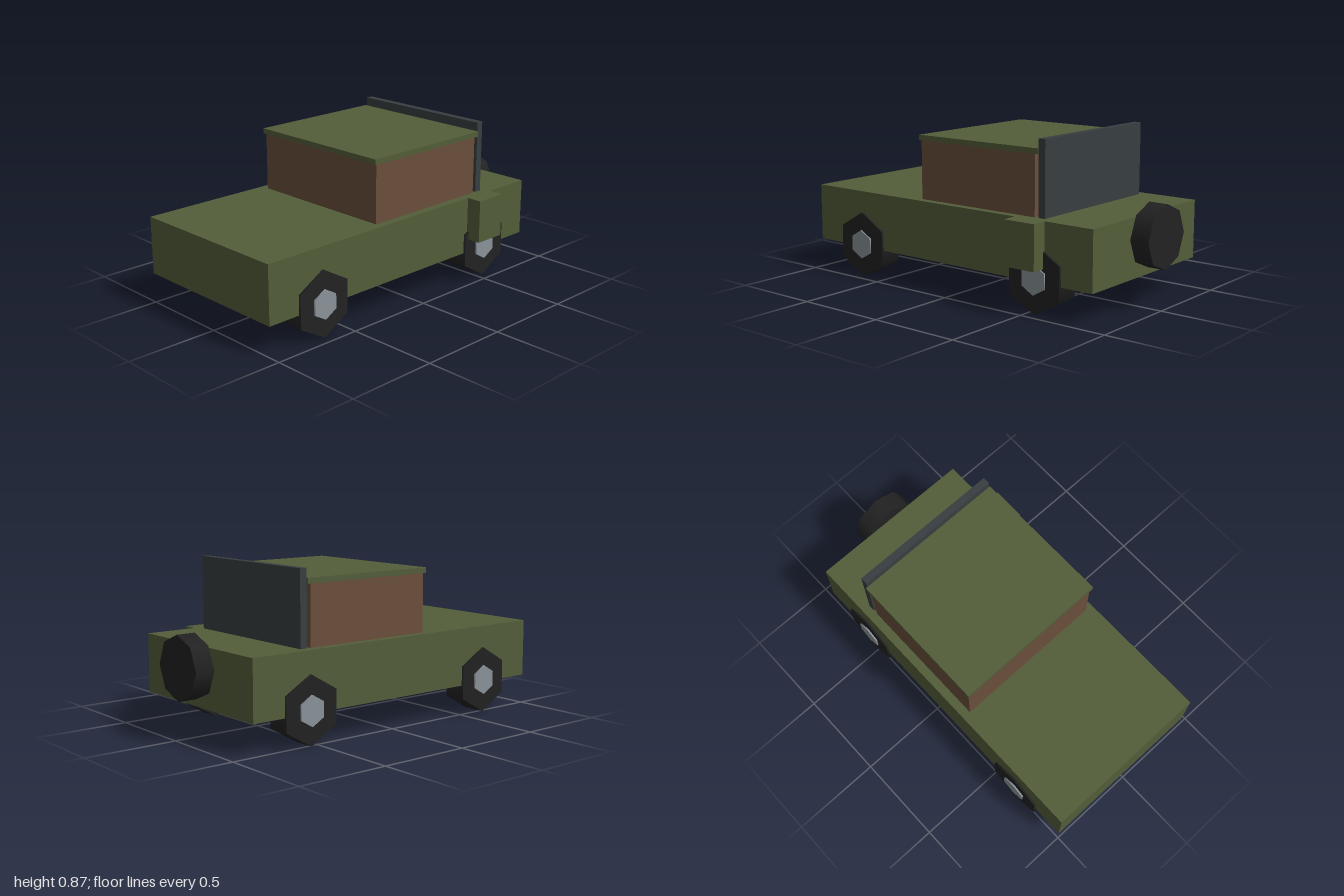
import * as THREE from 'three';

const mat = (name, color) => {
  const m = new THREE.MeshStandardMaterial({ color });
  m.name = name;
  return m;
};

export function createModel() {
  const olive = mat('olive paint', 0x535d39);
  const brown = mat('brown canvas', 0x6b4f3c);
  const slate = mat('slate panel', 0x383f41);
  const rubber = mat('black rubber', 0x222222);
  const steel = mat('grey steel', 0x8a9299);

  const model = new THREE.Group();
  model.name = 'vehicle';

  const add = (parent, name, geometry, material, x, y, z) => {
    const mesh = new THREE.Mesh(geometry, material);
    mesh.name = name;
    mesh.position.set(x, y, z);
    parent.add(mesh);
    return mesh;
  };

  // Box given by its lower and upper limits on each axis
  const box = (name, material, [x0, x1], [y0, y1], [z0, z1]) =>
    add(model, name, new THREE.BoxGeometry(x1 - x0, y1 - y0, z1 - z0), material,
      (x0 + x1) / 2, (y0 + y1) / 2, (z0 + z1) / 2);

  // Body, cabin and the parts fixed to them
  box('body', olive, [-0.505, 0.437], [0.163, 0.477], [-0.885, 1]);
  box('cabin', brown, [-0.457, 0.393], [0.477, 0.793], [-0.505, 0.25]);
  box('roof', olive, [-0.467, 0.4], [0.793, 0.822], [-0.527, 0.262]);
  box('rearPanel', slate, [-0.457, 0.393], [0.475, 0.87], [-0.567, -0.527]);
  box('sideBox', olive, [0.43, 0.522], [0.24, 0.477], [-0.6, -0.415]);

  // Six-sided wheels with a corner pointing up, axle along x
  const hexAlongX = (radius, width) =>
    new THREE.CylinderGeometry(radius, radius, width, 6)
      .rotateY(Math.PI / 2).rotateZ(Math.PI / 2);
  const tyre = hexAlongX(0.179, 0.126);
  const hub = hexAlongX(0.08, 0.144);
  const centreX = -0.033;
  for (const [end, z] of [['front', 0.66], ['rear', -0.545]]) {
    for (const [side, s] of [['Left', 1], ['Right', -1]]) {
      const wheel = new THREE.Group();
      wheel.name = `${end}${side}Wheel`;
      wheel.position.set(centreX + s * 0.42, 0.18, z);
      add(wheel, 'tyre', tyre, rubber, 0, 0, 0);
      add(wheel, 'hub', hub, steel, 0, 0, 0);
      model.add(wheel);
    }
  }

  // Spare wheel behind the body
  add(model, 'spareWheel',
    new THREE.CylinderGeometry(0.168, 0.168, 0.104, 8).rotateX(Math.PI / 2),
    rubber, centreX, 0.372, -0.948);

  return model;
}
